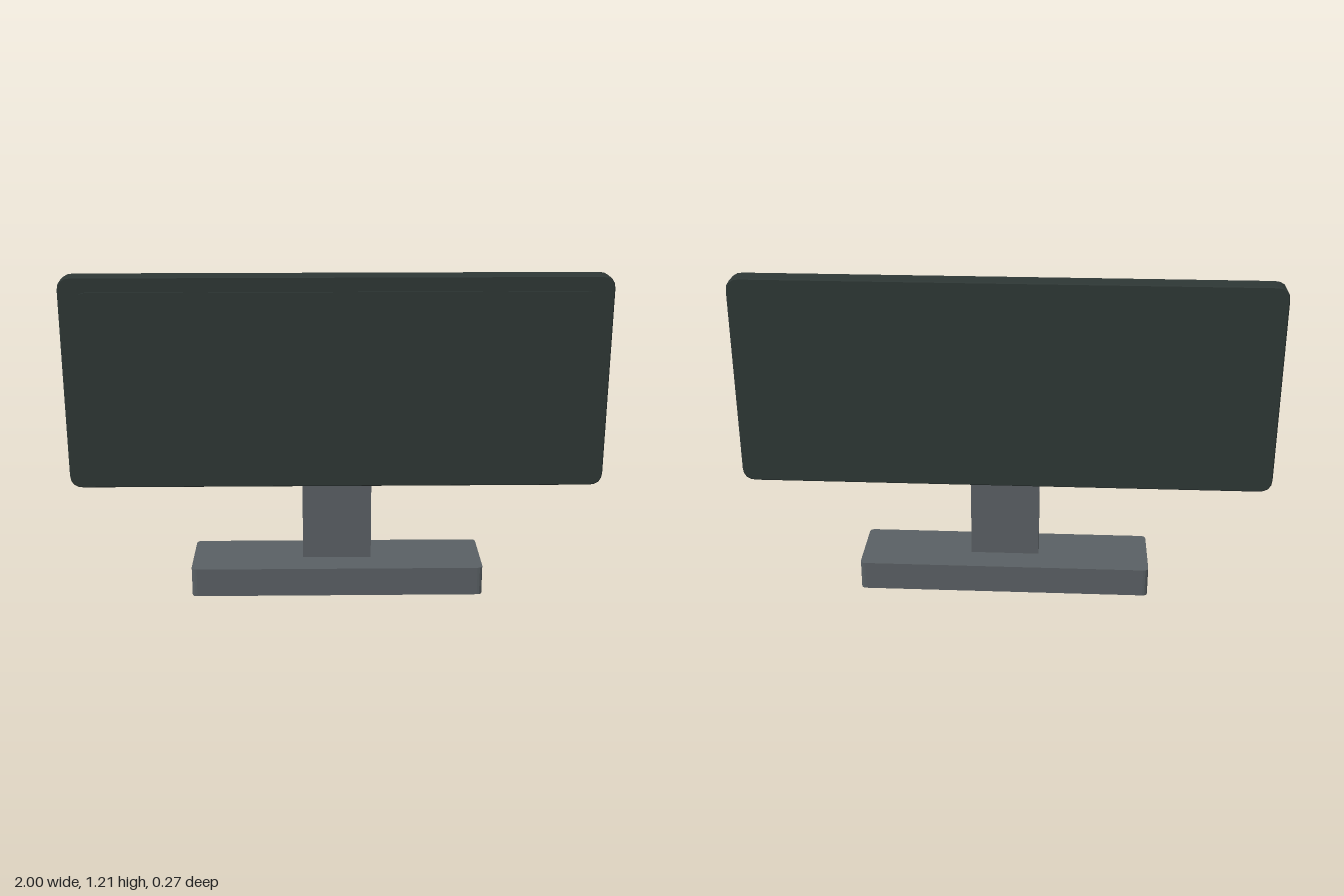
import * as THREE from 'three';

const mat = (name, color) => {
  const m = new THREE.MeshStandardMaterial({ color });
  m.name = name;
  return m;
};

// Rectangle with rounded corners, centred on the origin
function roundedRect(w, h, r) {
  const s = new THREE.Shape();
  const x = w / 2, y = h / 2;
  s.moveTo(-x + r, -y);
  s.lineTo(x - r, -y);
  s.quadraticCurveTo(x, -y, x, -y + r);
  s.lineTo(x, y - r);
  s.quadraticCurveTo(x, y, x - r, y);
  s.lineTo(-x + r, y);
  s.quadraticCurveTo(-x, y, -x, y - r);
  s.lineTo(-x, -y + r);
  s.quadraticCurveTo(-x, -y, -x + r, -y);
  return s;
}

// Slab of full size w x h x d, centred, with a small bevel on its edges
function slab(w, h, d, r, bevel) {
  const g = new THREE.ExtrudeGeometry(roundedRect(w - 2 * bevel, h - 2 * bevel, r), {
    depth: d - 2 * bevel,
    bevelEnabled: bevel > 0,
    bevelSize: bevel,
    bevelThickness: bevel,
    bevelSegments: 1,
    curveSegments: 4,
  });
  return g.translate(0, 0, -(d - 2 * bevel) / 2);
}

export function createModel() {
  const model = new THREE.Group();
  model.name = 'monitor';
  const casing = mat('dark casing', 0x2e3735);
  const metal = mat('grey stand', 0x5a6064);

  const add = (name, geometry, material, y, z = 0) => {
    const mesh = new THREE.Mesh(geometry, material);
    mesh.name = name;
    mesh.position.set(0, y, z);
    model.add(mesh);
  };

  // Display casing and the raised screen panel on its front
  add('displayCasing', slab(2, 0.8, 0.076, 0.045, 0.004), casing, 0.805);
  add('screenPanel', slab(1.86, 0.69, 0.014, 0.03, 0), casing, 0.805, 0.038);

  // Stand: upright neck on a foot with slightly rounded corners in plan
  add('neck', new THREE.BoxGeometry(0.26, 0.33, 0.056), metal, 0.265);
  add('foot', slab(1.1, 0.27, 0.11, 0.02, 0).rotateX(-Math.PI / 2), metal, 0.055);

  return model;
}
